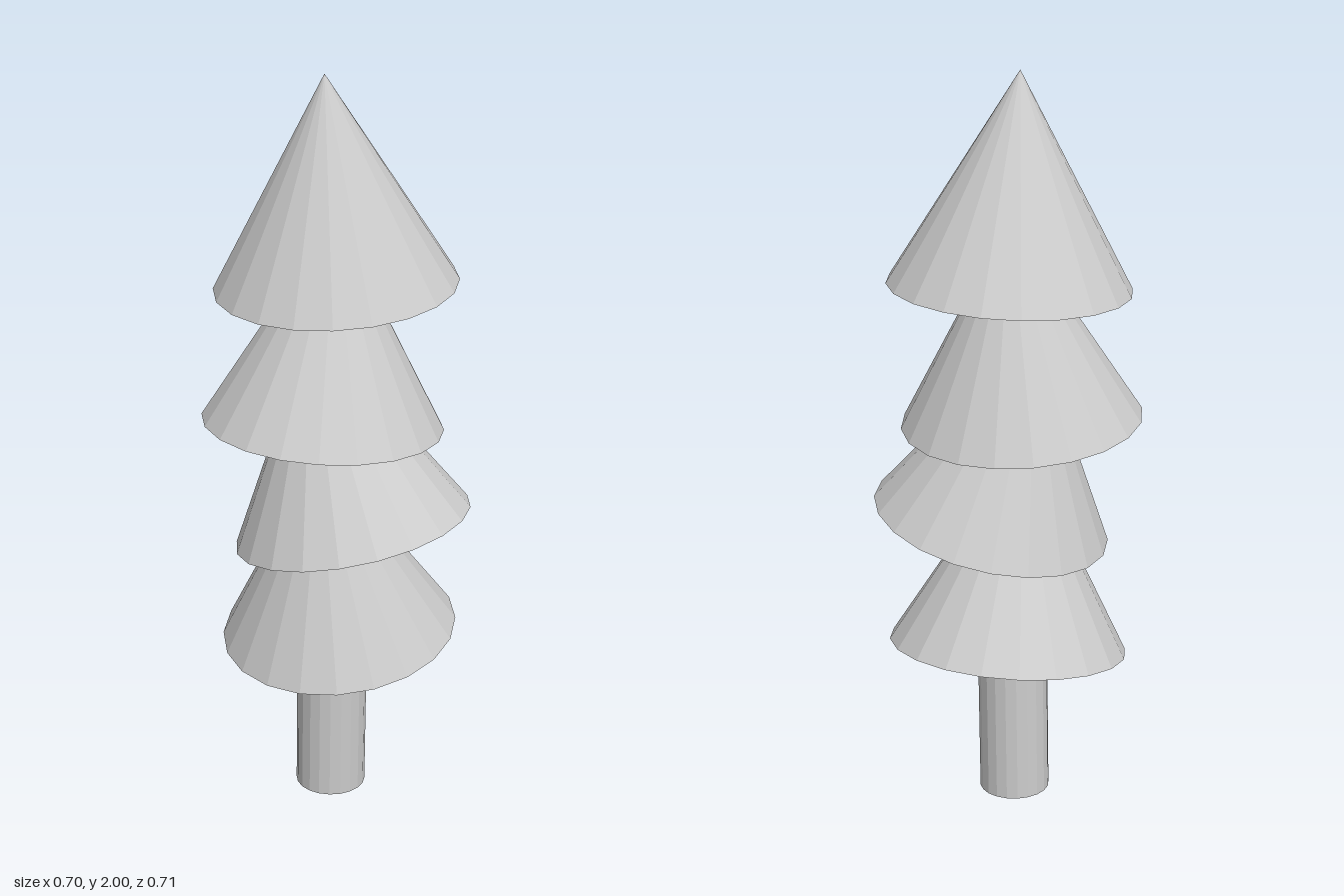
import * as THREE from 'three';

const SIDES = 20;
const RADIUS = 0.317;
const HEIGHT = 0.556;
const UP = new THREE.Vector3(0, 1, 0);

// Each tier: base centre, rise of the base plane along x and z, twist about its axis
const TIERS = [
  { name: 'bottomTier', base: [0.033, 0.45, -0.037], slope: [0.16, -0.07], twist: 0 },
  { name: 'lowerMiddleTier', base: [0.02, 0.786, 0.045], slope: [0.115, 0.185], twist: -0.08 },
  { name: 'upperMiddleTier', base: [-0.035, 1.073, -0.014], slope: [-0.075, 0], twist: 0 },
  { name: 'topTier', base: [0.008, 1.445, -0.015], slope: [0.063, 0], twist: 0 },
];

// Stands a mesh on its base point with its axis along the given direction
function place(mesh, name, base, axis) {
  mesh.name = name;
  mesh.position.set(...base);
  mesh.quaternion.setFromUnitVectors(UP, axis.normalize());
  return mesh;
}

export function createModel() {
  const tree = new THREE.Group();
  tree.name = 'tree';
  const material = new THREE.MeshStandardMaterial({ color: 0xcccccc, flatShading: true });

  // Trunk, leaning slightly forward into the bottom tier
  const trunk = new THREE.CylinderGeometry(0.094, 0.094, 0.56, SIDES);
  trunk.translate(0, 0.28, 0);
  tree.add(place(new THREE.Mesh(trunk, material), 'trunk', [-0.013, 0.001, -0.012],
    new THREE.Vector3(0, 1, 0.02)));

  // Crooked stack of cone tiers
  for (const { name, base, slope, twist } of TIERS) {
    const cone = new THREE.ConeGeometry(RADIUS, HEIGHT, SIDES);
    cone.translate(0, HEIGHT / 2, 0).rotateY(twist);
    tree.add(place(new THREE.Mesh(cone, material), name, base,
      new THREE.Vector3(-slope[0], 1, -slope[1])));
  }
  return tree;
}
